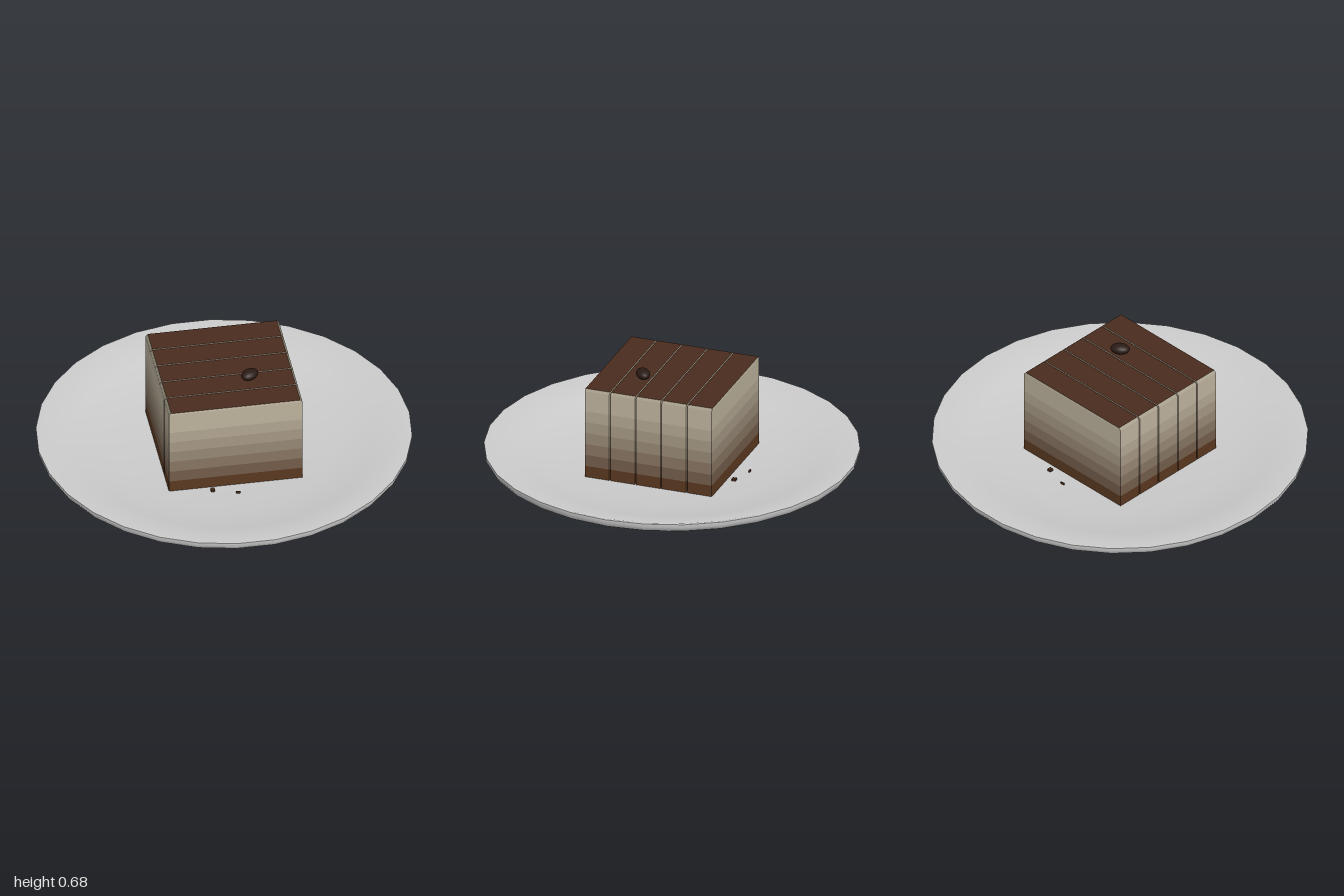
import * as THREE from 'three';
import { toCreasedNormals } from 'three/addons/utils/BufferGeometryUtils.js';

const PLATE_Y = 0.113;   // height of the flat plate surface
const CAKE_TOP = 0.625;
const SIZE = 0.72;       // cake width and depth
const SLICES = 5;
const ROWS = 8;          // colour bands down each cake side

const paint = (color) => new THREE.MeshStandardMaterial({ color });

function add(parent, name, geometry, material) {
  const mesh = new THREE.Mesh(geometry, material);
  mesh.name = name;
  parent.add(mesh);
  return mesh;
}

// One slab: banded sides, softened top edges along the two short ends
function sliceGeometry(height, depth) {
  const g = new THREE.BoxGeometry(SIZE, height, depth, 1, ROWS, 1);
  const p = g.attributes.position;
  const half = height / 2, row = height / ROWS, bevel = 0.012;
  for (let i = 0; i < p.count; i++) {
    const y = p.getY(i);
    if (y > half - 0.001) p.setX(i, Math.sign(p.getX(i)) * (SIZE / 2 - bevel));
    else if (y > half - row - 0.001) p.setY(i, half - bevel);
  }
  // Material 0 is the top, 1..ROWS are the bands from top to bottom
  g.clearGroups();
  let start = 0;
  ['side', 'side', 'top', 'base', 'side', 'side'].forEach((kind) => {
    const count = kind === 'side' ? ROWS : 1;
    for (let r = 0; r < count; r++, start += 6) {
      g.addGroup(start, 6, kind === 'side' ? r + 1 : kind === 'top' ? 0 : ROWS);
    }
  });
  return g;
}

export function createModel() {
  const model = new THREE.Group();
  model.name = 'cakeOnPlate';

  // Plate: foot, flared underside, thin rim and shallow well
  const profile = [
    [0, 0], [0.645, 0], [0.665, 0.025], [0.69, 0.055], [0.96, 0.14],
    [0.985, 0.155], [1, 0.178], [1, 0.198], [0.99, 0.2],
    [0.8, 0.152], [0.58, PLATE_Y], [0, PLATE_Y],
  ].map(([x, y]) => new THREE.Vector2(x, y));
  const plate = add(model, 'plate',
    toCreasedNormals(new THREE.LatheGeometry(profile, 30), 0.65), paint(0xcccccc));
  plate.rotation.y = Math.PI / 2;

  // Cake: five upright slabs with narrow gaps, pale above and brown below
  const pale = new THREE.Color(0xc8bea8), brown = new THREE.Color(0x5a3820);
  const materials = [paint(0x4a2c1e)];
  for (let r = 0; r < ROWS; r++) {
    materials.push(paint(pale.clone().lerp(brown, r / (ROWS - 1))));
  }
  const cake = new THREE.Group();
  cake.name = 'cake';
  model.add(cake);
  const gap = 0.007, height = CAKE_TOP - PLATE_Y;
  const depth = (SIZE - gap * (SLICES - 1)) / SLICES;
  const slab = sliceGeometry(height, depth);
  for (let i = 0; i < SLICES; i++) {
    add(cake, 'slice' + (i + 1), slab, materials)
      .position.set(0, PLATE_Y + height / 2, (i - (SLICES - 1) / 2) * (depth + gap));
  }

  // Bean lying on the top
  const bean = add(model, 'bean', new THREE.SphereGeometry(1, 20, 14), paint(0x2a1a14));
  bean.scale.set(0.052, 0.027, 0.037);
  bean.position.set(0.117, 0.65, 0.12);
  bean.rotation.y = 0.6;

  // Crumbs scattered on the plate
  const crumb = new THREE.BoxGeometry(0.022, 0.016, 0.022);
  const crumbPaint = paint(0x4a2c1e);
  [[0.125, -0.4, 1], [-0.13, 0.395, 1], [0, 0.44, 0.25], [-0.005, -0.44, 0.25]]
    .forEach(([x, z, thin], i) => {
      const mesh = add(model, 'crumb' + (i + 1), crumb, crumbPaint);
      mesh.position.set(x, PLATE_Y + 0.004, z);
      mesh.scale.z = thin;
    });

  return model;
}
